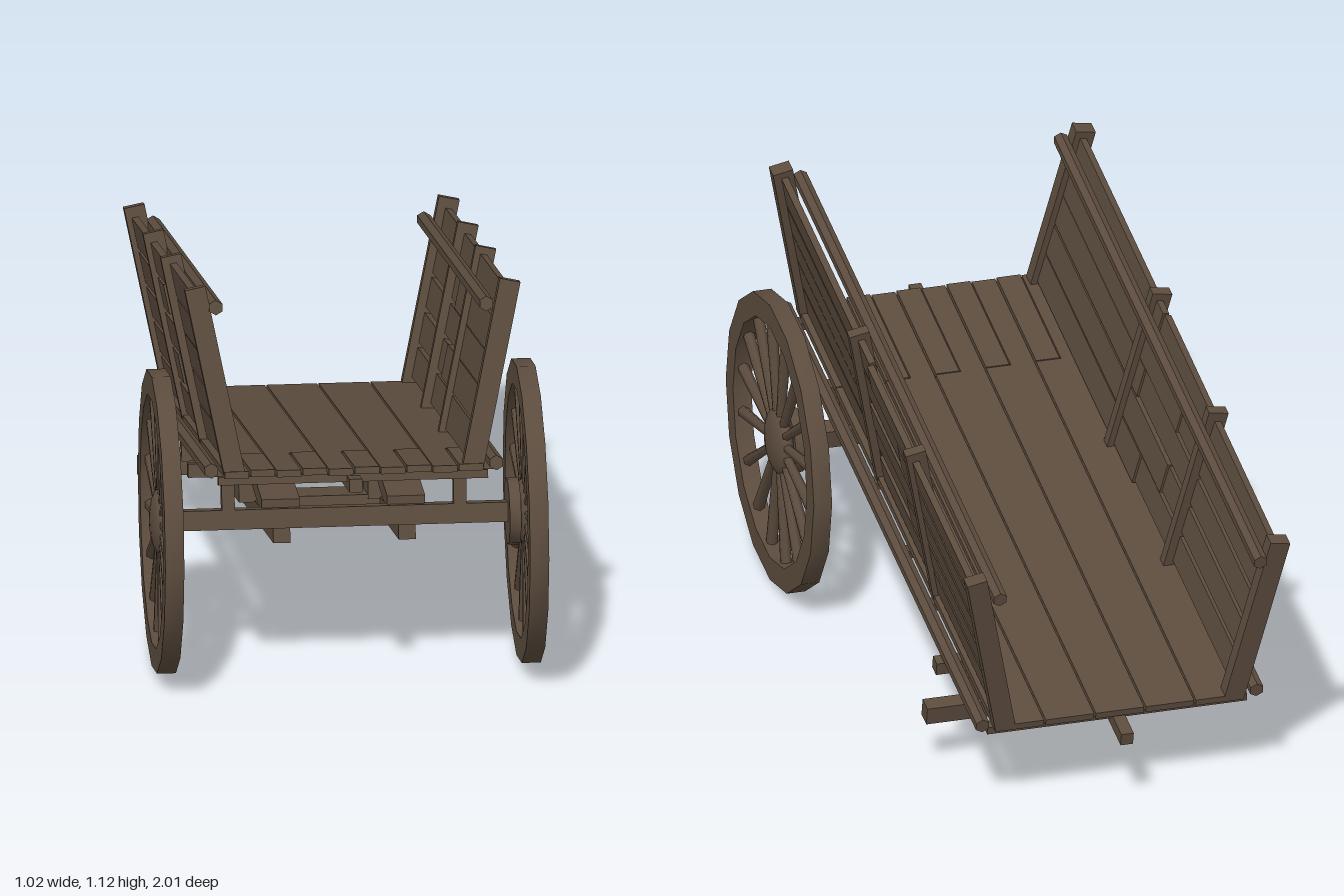
import * as THREE from 'three';
import { toCreasedNormals } from 'three/addons/utils/BufferGeometryUtils.js';

export function createModel() {
  const wood = new THREE.MeshStandardMaterial({ color: 0x5c4c3e });
  wood.name = 'weathered wood';
  const model = new THREE.Group();
  model.name = 'cart';

  const add = (parent, name, geo, x = 0, y = 0, z = 0) => {
    const m = new THREE.Mesh(geo, wood);
    m.name = name;
    m.position.set(x, y, z);
    parent.add(m);
    return m;
  };
  const box = (parent, name, w, h, l, x, y, z) =>
    add(parent, name, new THREE.BoxGeometry(w, h, l), x, y, z);
  // Beam at a fixed x between two (y, z) points
  const strut = (parent, name, w, h, x, y0, z0, y1, z1) => {
    const m = box(parent, name, w, h, Math.hypot(y1 - y0, z1 - z0), x, (y0 + y1) / 2, (z0 + z1) / 2);
    m.rotation.x = -Math.atan2(y1 - y0, z1 - z0);
  };
  // Six-sided pole lying along z
  const pole = (parent, name, r, l, x, y, z) => {
    const g = new THREE.CylinderGeometry(r, r, l, 6).rotateX(Math.PI / 2);
    add(parent, name, toCreasedNormals(g, 0.5), x, y, z);
  };
  let seed = 7;
  const rand = () => (seed = (seed * 16807) % 2147483647) / 2147483647 - 0.5;

  // Tilted body: local y = 0 is the top of the floor
  const body = new THREE.Group();
  body.name = 'body';
  body.position.y = 0.443;
  body.rotation.x = -0.21;
  model.add(body);

  // Floor boards: five wide ones, then ten narrow ones at the front
  for (let i = 0; i < 5; i++)
    box(body, 'floorBoard', 0.132, 0.018, 1.485, (i - 2) * 0.137, -0.009, -0.1825);
  for (let i = 0; i < 10; i++)
    box(body, 'frontFloorBoard', 0.064, 0.018, 0.365, (i - 4.5) * 0.0685, -0.009 + (i % 2) * 0.003, 0.7425);

  // Leaning sides
  for (const s of [-1, 1]) {
    const side = new THREE.Group();
    side.name = s > 0 ? 'leftSide' : 'rightSide';
    side.position.x = s * 0.315;
    side.rotation.z = -s * (s > 0 ? 0.215 : 0.19);
    body.add(side);
    for (const z of [-0.905, -0.338, 0.184, 0.9]) {
      const end = Math.abs(z) > 0.8;
      box(side, 'sidePost', 0.055, 0.5, end ? 0.04 : 0.03, 0, 0.245, z);
    }
    // Two staggered planks in each row, with wider gaps at the rear
    for (let i = 0; i < 5; i++) {
      const split = i % 2 ? -0.2 + rand() * 0.12 : 0.08 + rand() * 0.16;
      const y = 0.052 + i * 0.094;
      const rear = box(side, 'rearPlank', 0.018, 0.08, split + 0.9, s * 0.004, y, (split - 0.9) / 2);
      rear.rotation.x = rand() * 0.008;
      const front = box(side, 'frontPlank', 0.018, 0.09, 0.9 - split, -s * 0.002, y + rand() * 0.006, (split + 0.9) / 2);
      front.rotation.x = rand() * 0.005;
    }
    // Rails inside the top and outside the bottom
    pole(body, 'upperRail', 0.02, 1.86, s * 0.356, s > 0 ? 0.425 : 0.435, 0);
    pole(body, 'lowerRail', 0.02, 1.84, s * 0.375, 0.003, 0);
  }

  // Frame under the floor
  box(body, 'spine', 0.034, 0.035, 1.975, 0, -0.04, -0.012);
  for (const z of [-0.6, 0.6]) box(body, 'wideCrossBeam', 0.82, 0.036, 0.036, 0, -0.032, z);
  for (const z of [-0.89, -0.35, -0.12, 0.18, 0.88])
    box(body, 'crossBeam', 0.71, 0.022, 0.03, 0, -0.028, z);
  box(body, 'axle', 0.88, 0.052, 0.052, 0, -0.166, 0.58);
  box(body, 'rearBar', 0.87, 0.05, 0.045, 0, -0.166, -0.62);
  box(body, 'bottomPlate', 0.34, 0.04, 0.19, 0, -0.198, -0.05);
  for (const s of [-1, 1]) {
    const x = s * 0.165;
    box(body, 'lowerBeam', 0.045, 0.048, 1.24, x, -0.208, -0.025);
    box(body, 'block', 0.118, 0.165, 0.15, s * 0.17, -0.106, -0.02);
    strut(body, 'frontBrace', 0.1, 0.045, x, -0.14, 0.58, -0.045, 0.03);
    strut(body, 'rearBrace', 0.03, 0.034, x, -0.03, -0.07, -0.18, -0.62);
    for (const z of [-0.61, 0.59]) box(body, 'upright', 0.034, 0.12, 0.034, s * 0.305, -0.095, z);
  }

  // Wheels with a sixteen-sided rim, spokes and a domed hub
  const rimGeo = toCreasedNormals(new THREE.LatheGeometry(
    [[0.335, -0.025], [0.4, -0.025], [0.4, 0.025], [0.335, 0.025], [0.335, -0.025]]
      .map(([r, y]) => new THREE.Vector2(r, y)), 16).rotateZ(Math.PI / 2), 0.5);
  const spokeGeo = new THREE.CylinderGeometry(0.016, 0.012, 0.29, 6).translate(0, 0.2, 0);
  const hubGeo = new THREE.SphereGeometry(0.09, 20, 14).scale(0.35, 1, 1);
  const collarGeo = toCreasedNormals(new THREE.CylinderGeometry(0.088, 0.088, 0.03, 20).rotateZ(Math.PI / 2), 0.5);
  for (const s of [-1, 1]) {
    const wheel = new THREE.Group();
    wheel.name = s > 0 ? 'leftWheel' : 'rightWheel';
    wheel.position.set(s * 0.48, 0.4, 0.6);
    model.add(wheel);
    add(wheel, 'rim', rimGeo);
    add(wheel, 'hub', hubGeo);
    add(wheel, 'hubCollar', collarGeo, -s * 0.035);
    for (let i = 0; i < 16; i++)
      add(wheel, 'spoke', spokeGeo).rotation.x = (i + 0.5) * Math.PI / 8;
  }
  return model;
}
